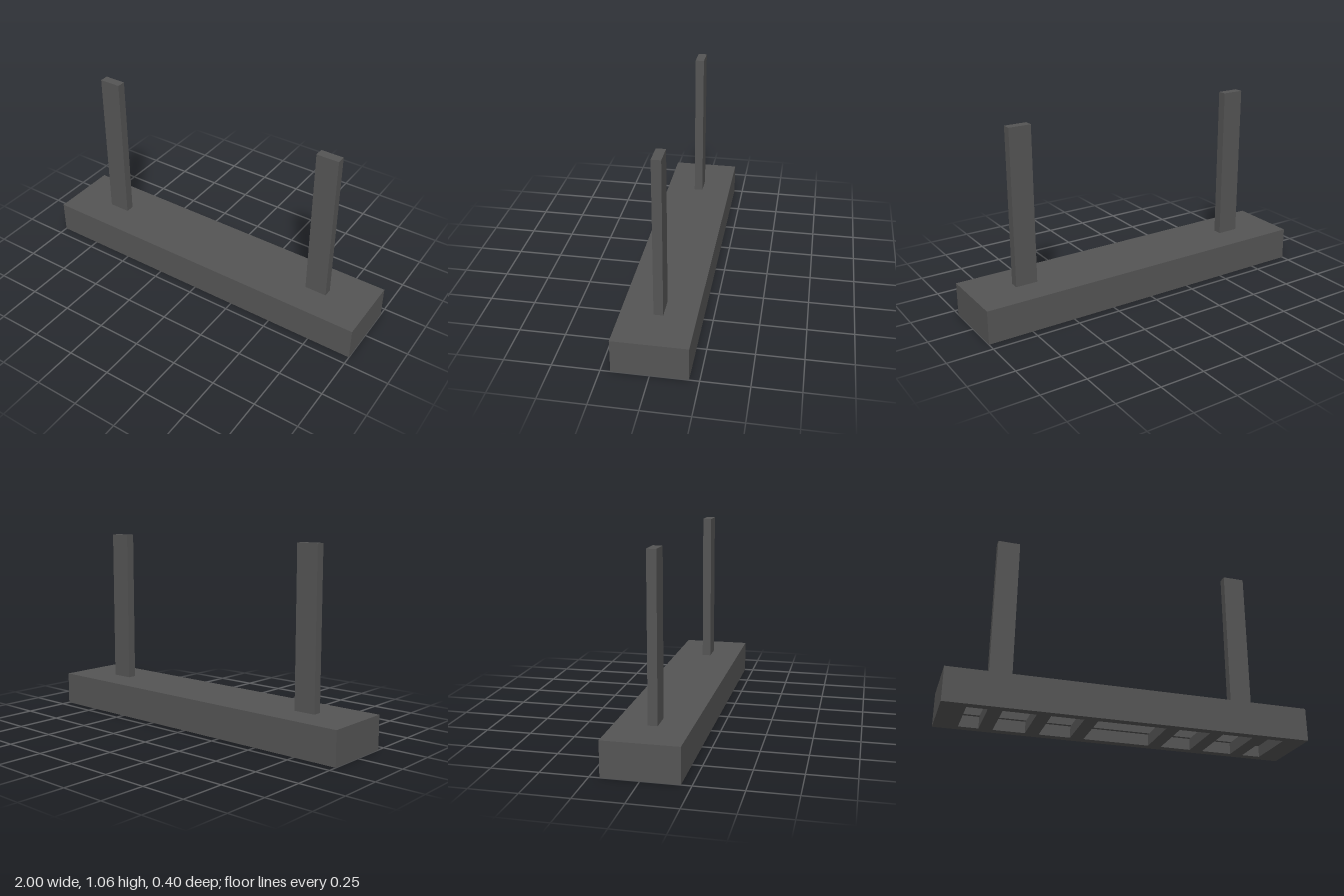
import * as THREE from 'three';

const material = new THREE.MeshStandardMaterial({ color: 0x555555 });

// Rectangle outline centred on (cx, 0)
function rectangle(target, width, depth, cx = 0) {
  const w = width / 2, d = depth / 2;
  target.moveTo(cx - w, -d);
  target.lineTo(cx + w, -d);
  target.lineTo(cx + w, d);
  target.lineTo(cx - w, d);
  target.closePath();
  return target;
}

// Horizontal slab from y0 to y1 with rectangular openings [x0, x1, depth]
function slab(name, y0, y1, openings) {
  const shape = rectangle(new THREE.Shape(), 2, 0.395);
  for (const [x0, x1, depth] of openings) {
    shape.holes.push(rectangle(new THREE.Path(), x1 - x0, depth, (x0 + x1) / 2));
  }
  const geometry = new THREE.ExtrudeGeometry(shape, { depth: y1 - y0, bevelEnabled: false });
  geometry.rotateX(-Math.PI / 2);
  const mesh = new THREE.Mesh(geometry, material);
  mesh.name = name;
  mesh.position.y = y0;
  return mesh;
}

export function createModel() {
  const group = new THREE.Group();
  group.name = 'suspendedBeam';

  // Underside grille: seven openings separated by six cross fins
  const finHalf = 0.0375;
  const fins = [-0.725, -0.475, -0.225, 0.225, 0.475, 0.725];
  const starts = [-0.87, ...fins.map((x) => x + finHalf)];
  const ends = [...fins.map((x) => x - finHalf), 0.87];
  const cells = starts.map((x, i) => [x, ends[i], 0.3]);
  group.add(slab('grille', 0, 0.065, cells));

  // Hollow body, stepped slightly inward above the grille, with a closed top
  group.add(slab('housing', 0.065, 0.15, [[-0.85, 0.85, 0.26]]));
  group.add(slab('topPlate', 0.15, 0.187, []));

  // Upright posts
  for (const [side, name] of [[1, 'leftPost'], [-1, 'rightPost']]) {
    const post = new THREE.Mesh(new THREE.BoxGeometry(0.125, 0.873, 0.05), material);
    post.name = name;
    post.position.set(side * 0.69, 0.187 + 0.873 / 2, 0);
    group.add(post);
  }
  return group;
}
